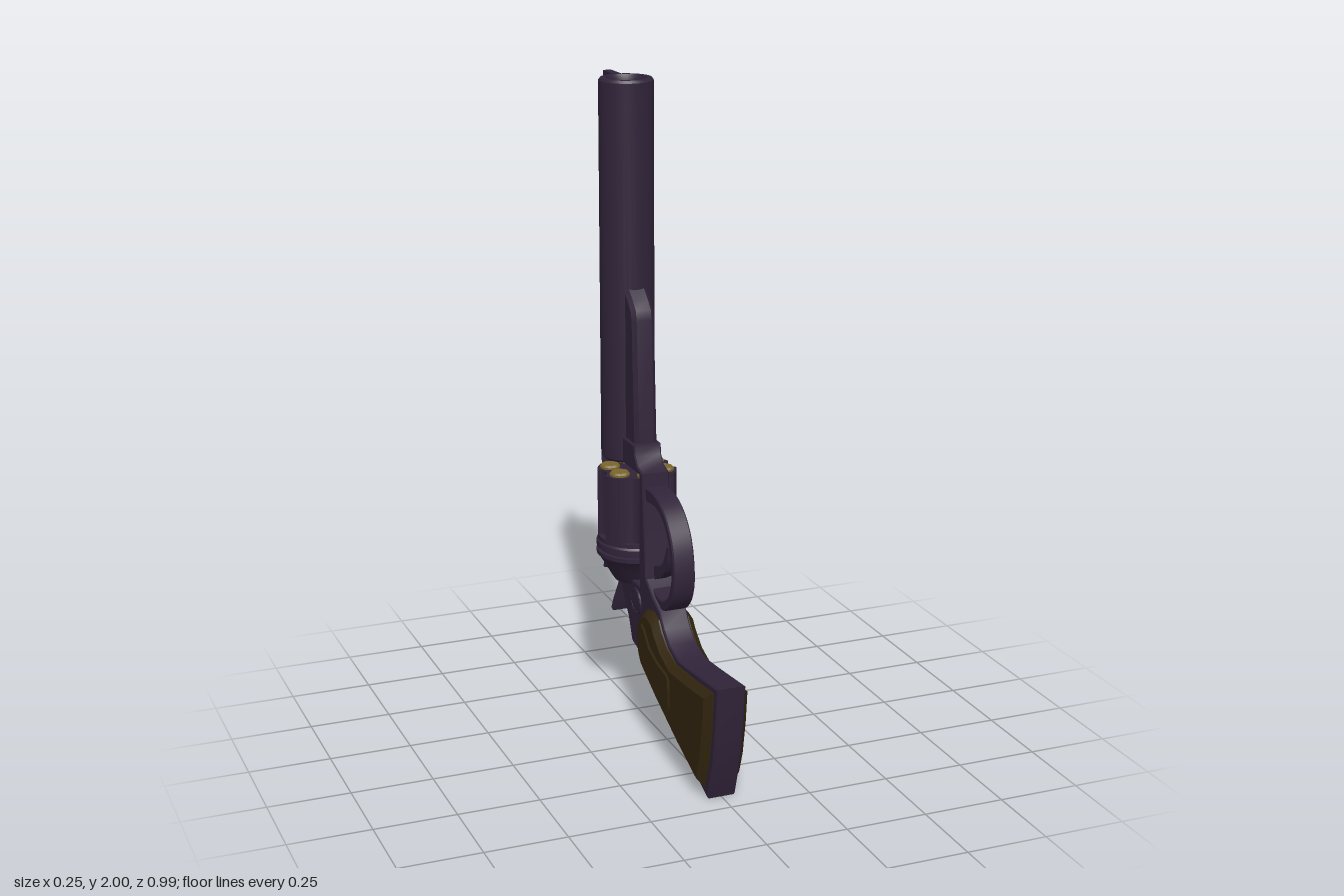
import * as THREE from 'three';
import { toCreasedNormals } from 'three/addons/utils/BufferGeometryUtils.js';

const metal = new THREE.MeshStandardMaterial({ color: 0x31243a });
metal.name = 'darkMetal';
const wood = new THREE.MeshStandardMaterial({ color: 0x33260f });
wood.name = 'darkWood';
const brass = new THREE.MeshStandardMaterial({ color: 0x7a652c });
brass.name = 'brass';

const BARREL_Z = -0.328, BARREL_R = 0.083, DRUM_Z = -0.25;

export function createModel() {
  const model = new THREE.Group();

  const add = (name, geometry, material, x = 0, y = 0, z = 0) => {
    const mesh = new THREE.Mesh(toCreasedNormals(geometry, 0.6), material);
    mesh.name = name;
    mesh.position.set(x, y, z);
    model.add(mesh);
    return mesh;
  };
  const vectors = (pts) => pts.map(([a, b]) => new THREE.Vector2(a, b));
  const smooth = (pts, n = 24) => new THREE.SplineCurve(vectors(pts)).getPoints(n);

  // Extrudes a side outline of (z, y) points symmetrically across x
  const sideSlab = (pts, half, bevel = 0, bevelDepth = bevel) => {
    const depth = 2 * (half - bevelDepth);
    const g = new THREE.ExtrudeGeometry(new THREE.Shape(pts), {
      depth, bevelEnabled: bevel > 0, bevelSize: bevel, bevelOffset: -bevel,
      bevelThickness: bevelDepth, bevelSegments: 1,
    });
    g.translate(0, 0, -depth / 2);
    return g.rotateY(-Math.PI / 2);
  };
  // Extrudes a plan outline of (x, -z) points upward
  const upright = (shape, depth) => new THREE.ExtrudeGeometry(shape,
    { depth, bevelEnabled: false, curveSegments: 16 }).rotateX(-Math.PI / 2);
  const lathe = (pts, n = 32) => new THREE.LatheGeometry(vectors(pts), n);

  // Hollow barrel
  add('barrel', lathe([
    [0.04, 0.825], [0.077, 0.825], [BARREL_R, 0.832], [BARREL_R, 1.992], [0.077, 2],
    [0.063, 2], [0.056, 1.985], [0.056, 0.9], [0.04, 0.825],
  ]), metal, 0, 0, BARREL_Z);

  // Top strap carries on the back of the barrel over the drum
  const strap = new THREE.Shape();
  strap.absarc(0, -BARREL_Z, BARREL_R, 0.53, Math.PI - 0.53, false);
  add('topStrap', upright(strap, 0.3), metal, 0, 0.54, 0);

  // Ejector housing in front of the barrel
  add('ejectorHousing', sideSlab(vectors([
    [-0.262, 0.88], [-0.165, 0.88], [-0.168, 0.95], [-0.185, 1.29], [-0.192, 1.32],
    [-0.215, 1.345], [-0.25, 1.375], [-0.262, 1.375],
  ]), 0.036, 0.012), metal);

  // Front sight: blade on a wider base
  add('sightBlade', sideSlab(vectors([
    [-0.4, 2], [-0.49, 2], [-0.49, 1.975], [-0.447, 1.905], [-0.425, 1.79], [-0.4, 1.765],
  ]), 0.013), metal);
  add('sightBase', sideSlab(vectors([
    [-0.4, 1.985], [-0.448, 1.9], [-0.438, 1.86], [-0.425, 1.79], [-0.4, 1.765],
  ]), 0.022, 0.004), metal);

  // Frame with grip core, open behind the barrel for the drum
  add('frame', sideSlab(vectors([
    [-0.26, 0.91], [-0.16, 0.91], [-0.156, 0.875], [-0.135, 0.85], [-0.093, 0.838],
    [-0.088, 0.75], [-0.075, 0.6], [-0.065, 0.51], [-0.01, 0.47], [0.045, 0.445],
    [0.08, 0.4], [0.125, 0.366], [0.2, 0.345], [0.32, 0.355], [0.495, 0.372],
    [0.485, 0.25], [0.462, 0.12], [0.425, 0], [0.34, 0.035], [0.245, 0.07],
    [0.13, 0.12], [0.035, 0.165], [-0.03, 0.2], [-0.1, 0.245], [-0.185, 0.265],
    [-0.215, 0.335], [-0.265, 0.4], [-0.3, 0.445], [-0.38, 0.438], [-0.44, 0.42],
    [-0.428, 0.525], [-0.41, 0.56], [-0.375, 0.56], [-0.365, 0.47],
    [-0.12, 0.47], [-0.12, 0.827], [-0.26, 0.827],
  ]), 0.044, 0.004), metal);

  // Fluted drum: circle with six scooped channels
  const outline = [];
  for (let i = 0; i < 180; i++) {
    const t = (i / 180) * Math.PI * 2;
    const d = t - Math.round(t / (Math.PI / 3)) * (Math.PI / 3);
    const hit = 0.036 ** 2 - (0.137 * Math.sin(d)) ** 2;
    const r = hit > 0 ? Math.min(0.122, 0.137 * Math.cos(d) - Math.sqrt(hit)) : 0.122;
    outline.push(new THREE.Vector2(r * Math.cos(t), r * Math.sin(t)));
  }
  add('drum', upright(new THREE.Shape(outline), 0.21), metal, 0, 0.595, DRUM_Z);
  add('drumBase', lathe([
    [0, 0.45], [0.072, 0.45], [0.08, 0.462], [0.1, 0.497], [0.12, 0.53], [0.127, 0.537],
    [0.127, 0.55], [0.117, 0.552], [0.117, 0.559], [0.127, 0.561], [0.127, 0.578],
    [0.122, 0.584], [0.122, 0.597], [0, 0.597],
  ]), metal, 0, 0, DRUM_Z);

  // Six cartridges
  for (let i = 0; i < 6; i++) {
    const a = (i + 0.5) * Math.PI / 3;
    add('cartridge', lathe([[0.031, 0.79], [0.031, 0.811], [0.026, 0.817], [0, 0.817]], 20),
      brass, 0.084 * Math.cos(a), 0, DRUM_Z + 0.084 * Math.sin(a));
  }

  // Trigger guard
  const guardOuter = smooth([
    [-0.1, 0.795], [-0.02, 0.793], [0.06, 0.757], [0.12, 0.68], [0.14, 0.57],
    [0.113, 0.49], [0.05, 0.448], [-0.03, 0.45],
  ]);
  const guardInner = smooth([
    [-0.04, 0.49], [0.03, 0.476], [0.085, 0.505], [0.115, 0.575], [0.1, 0.66],
    [0.055, 0.725], [-0.01, 0.755], [-0.1, 0.752],
  ]);
  add('triggerGuard', sideSlab([...guardOuter, ...guardInner], 0.034, 0.004), metal);

  // Trigger
  add('trigger', sideSlab([
    ...smooth([[0.048, 0.645], [0.035, 0.59], [0, 0.54], [-0.09, 0.495]], 10),
    ...smooth([[-0.09, 0.545], [-0.02, 0.565], [0.015, 0.6], [0.036, 0.646]], 10),
  ], 0.016), metal);

  // Hammer body and flared spur
  add('hammer', sideSlab(smooth([
    [-0.19, 0.44], [-0.2, 0.345], [-0.225, 0.328], [-0.265, 0.335], [-0.3, 0.37],
    [-0.318, 0.42], [-0.34, 0.46],
  ]), 0.02), metal);
  const spur = sideSlab(vectors([
    [-0.32, 0.46], [-0.34, 0.46], [-0.352, 0.4], [-0.366, 0.34], [-0.379, 0.305],
    [-0.364, 0.299], [-0.348, 0.34], [-0.334, 0.4],
  ]), 0.018);
  const p = spur.attributes.position;
  for (let i = 0; i < p.count; i++) {
    p.setX(i, p.getX(i) * (1 + 1.2 * Math.min(1, Math.max(0, (0.43 - p.getY(i)) / 0.1))));
  }
  add('hammerSpur', spur, metal);

  // Wooden grip panels run through the frame and show on both sides
  add('gripPanels', sideSlab(vectors([
    [0.47, 0.352], [0.32, 0.338], [0.19, 0.33], [0.12, 0.355], [0.075, 0.39],
    [0.05, 0.42], [0.005, 0.432], [-0.04, 0.423], [-0.08, 0.39], [-0.097, 0.34],
    [-0.085, 0.265], [-0.06, 0.232], [0.06, 0.172], [0.245, 0.093],
    [0.41, 0.033], [0.44, 0.12], [0.46, 0.23],
  ]), 0.069, 0.02), wood);
  add('gripPads', sideSlab(vectors([
    [0.195, 0.285], [0.175, 0.302], [0.1, 0.312], [0.035, 0.335], [-0.005, 0.378],
    [-0.035, 0.39], [-0.06, 0.368], [-0.055, 0.32], [-0.025, 0.272], [0.06, 0.225],
    [0.19, 0.175], [0.2, 0.2],
  ]), 0.074, 0.012, 0.01), wood);

  // Pivot screw across the frame, with a rim on each side
  add('pivotScrew', new THREE.CylinderGeometry(0.032, 0.032, 0.098, 24).rotateZ(Math.PI / 2),
    metal, 0, 0.413, -0.142);
  for (const s of [-1, 1]) {
    add('screwRim', new THREE.TorusGeometry(0.037, 0.005, 6, 24).rotateY(Math.PI / 2),
      metal, s * 0.045, 0.413, -0.142);
  }

  return model;
}
